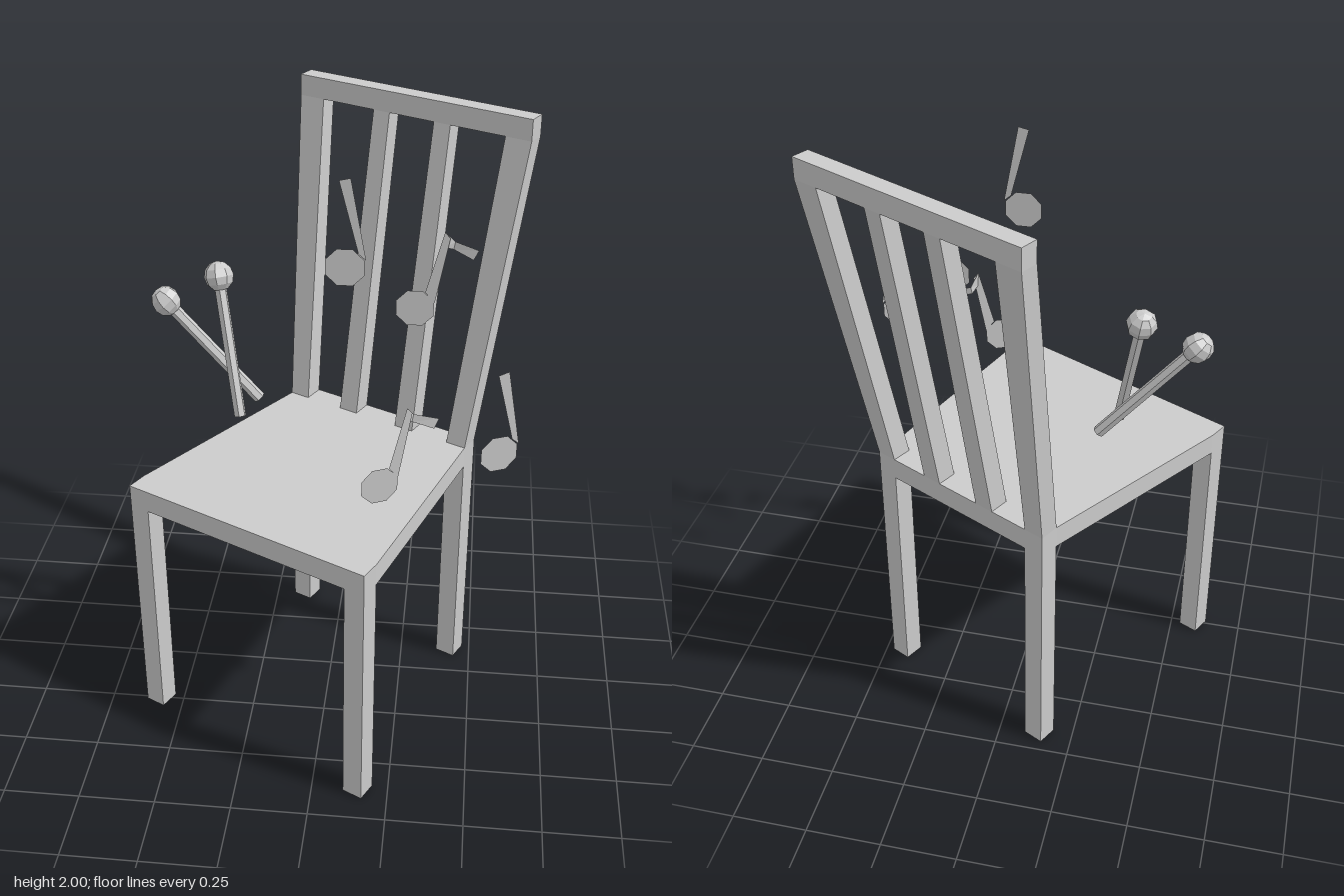
import * as THREE from 'three';

const grey = new THREE.MeshStandardMaterial({ color: 0xcccccc, flatShading: true });
const sheet = new THREE.MeshStandardMaterial({ color: 0xcccccc, flatShading: true, side: THREE.DoubleSide });

function add(parent, name, geometry, material = grey) {
  const mesh = new THREE.Mesh(geometry, material);
  mesh.name = name;
  parent.add(mesh);
  return mesh;
}

// Four-sided bar between two horizontal rectangles { x, z, w, d } at heights y0 and y1
function bar(y0, y1, low, high) {
  const g = new THREE.BoxGeometry(1, 1, 1);
  const p = g.attributes.position;
  for (let i = 0; i < p.count; i++) {
    const r = p.getY(i) < 0 ? low : high;
    p.setXYZ(i, r.x + p.getX(i) * r.w, p.getY(i) < 0 ? y0 : y1, r.z + p.getZ(i) * r.d);
  }
  g.computeVertexNormals();
  return g;
}

function createChair() {
  const chair = new THREE.Group();
  chair.name = 'chair';

  // Seat, narrowing to the back, with square corners over the legs
  const half = [[0.445, 0.518], [0.445, 0.448], [0.351, -0.274], [0.351, -0.344]];
  const outline = [...half, ...half.map(([x, z]) => [-x, z]).reverse()];
  const seat = new THREE.Shape(outline.map(([x, z]) => new THREE.Vector2(x, -z)));
  add(chair, 'seat', new THREE.ExtrudeGeometry(seat, { depth: 0.075, bevelEnabled: false }))
    .geometry.rotateX(-Math.PI / 2).translate(0, 0.825, 0);

  for (const s of [-1, 1]) {
    const front = { x: s * 0.41, z: 0.483, w: 0.07, d: 0.07 };
    const back = { x: s * 0.316, z: -0.309, w: 0.07, d: 0.07 };
    add(chair, 'frontLeg', bar(0, 0.825, front, front));
    add(chair, 'backLeg', bar(0, 0.825, back, back));
    // Leaning posts and slats of the backrest
    add(chair, 'backPost', bar(0.9, 1.93, back, { x: s * 0.381, z: -0.494, w: 0.09, d: 0.062 }));
    add(chair, 'backSlat', bar(0.9, 1.93,
      { x: s * 0.112, z: -0.309, w: 0.068, d: 0.07 },
      { x: s * 0.112, z: -0.494, w: 0.06, d: 0.062 }));
  }
  const rail = { x: 0, z: -0.494, w: 0.852, d: 0.062 };
  add(chair, 'topRail', bar(1.93, 2, rail, rail));
  return chair;
}

// Stick with a faceted ball on its upper end
function createMallet(headAt, endAt) {
  const head = new THREE.Vector3(...headAt), end = new THREE.Vector3(...endAt);
  const mallet = new THREE.Group();
  mallet.name = 'mallet';
  const length = head.distanceTo(end);
  add(mallet, 'malletStick', new THREE.CylinderGeometry(0.02, 0.02, length, 6)).position.y = length / 2;
  add(mallet, 'malletHead', new THREE.SphereGeometry(0.049, 8, 6)).position.y = length;
  mallet.position.copy(end);
  mallet.quaternion.setFromUnitVectors(new THREE.Vector3(0, 1, 0), head.sub(end).normalize());
  return mallet;
}

// Thin music note: octagonal head, tapered stem, and a folded flag on some
function createNote(position, turn, flagged) {
  const note = new THREE.Group();
  note.name = 'musicNote';
  add(note, 'noteHead', new THREE.CircleGeometry(0.063, 8, Math.PI / 8), sheet);
  const stem = flagged
    ? [[0.03, 0.055], [0.06, 0.02], [0.1, 0.235], [0.083, 0.255]]
    : [[0.04, 0.045], [0.063, 0.025], [0.016, 0.278], [-0.018, 0.27]];
  add(note, 'noteStem', new THREE.ShapeGeometry(
    new THREE.Shape(stem.map(([x, y]) => new THREE.Vector2(x, y)))), sheet);
  if (flagged) {
    const g = new THREE.PlaneGeometry(1, 1, 2, 1);
    const fold = [[0.083, 0.255, 0], [0.115, 0.215, -0.025], [0.187, 0.2, 0],
      [0.085, 0.205, 0], [0.11, 0.19, -0.025], [0.172, 0.168, 0]];
    fold.forEach((v, i) => g.attributes.position.setXYZ(i, ...v));
    g.computeVertexNormals();
    add(note, 'noteFlag', g, sheet);
  }
  note.position.set(...position);
  note.rotation.y = turn;
  return note;
}

export function createModel() {
  const model = new THREE.Group();
  model.name = 'chairWithMalletsAndNotes';

  const chair = createChair();
  chair.rotation.y = -THREE.MathUtils.degToRad(27);
  chair.position.set(0.005, 0, 0.002);
  model.add(chair);

  model.add(createMallet([-0.545, 1.405, -0.07], [-0.25, 1.055, -0.083]));
  model.add(createMallet([-0.375, 1.485, -0.105], [-0.298, 1.047, 0.03]));

  model.add(createNote([0.06, 1.67, 0.195], 0, false));
  model.add(createNote([0.265, 1.485, 0.065], 0, true));
  model.add(createNote([0.19, 1.06, 0.423], 0.44, true));
  model.add(createNote([0.543, 1.155, 0.356], 0.42, false));
  return model;
}
